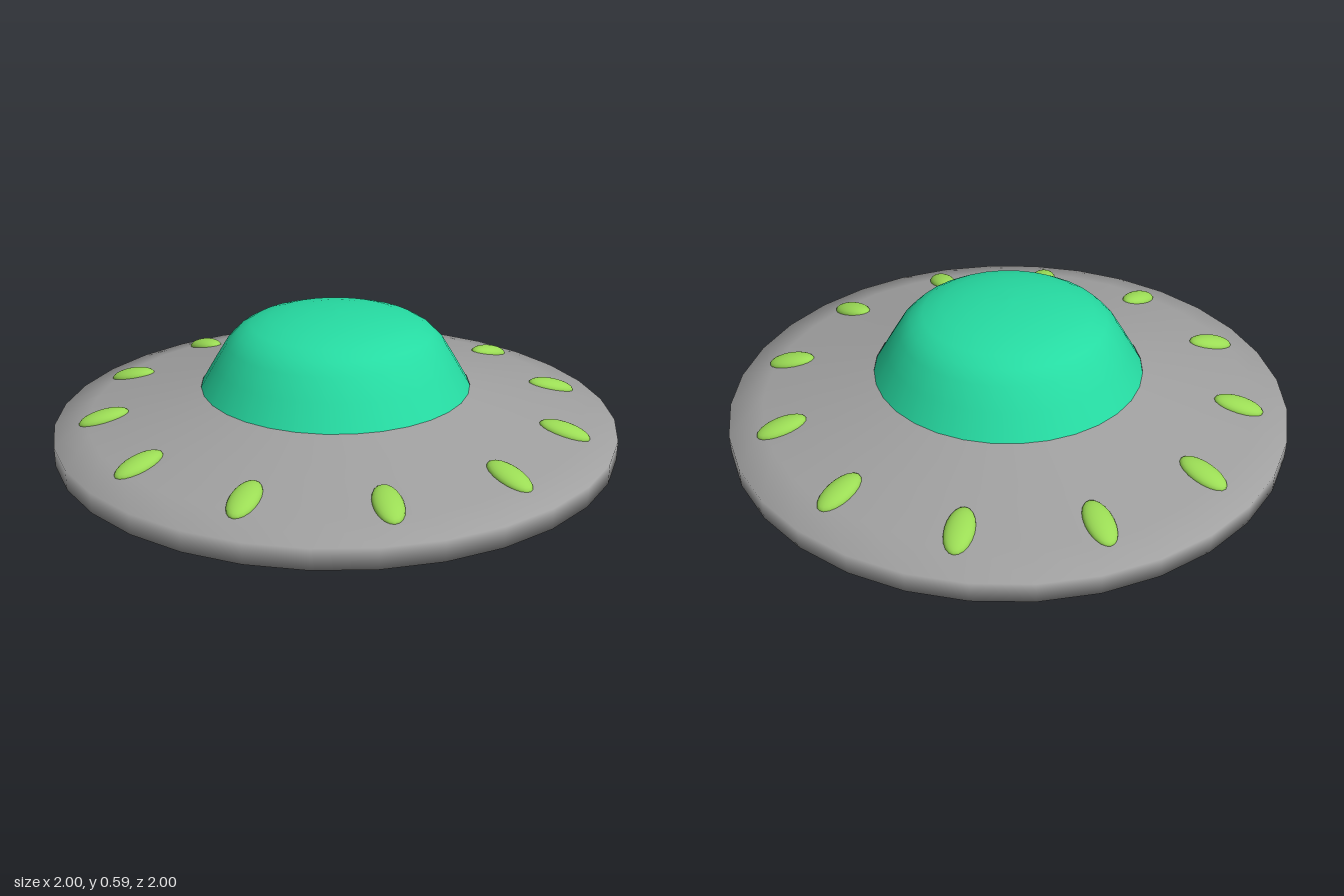
import * as THREE from 'three';
import { toCreasedNormals } from 'three/addons/utils/BufferGeometryUtils.js';

const SIDES = 32;

// Revolve a profile of [radius, height] pairs, listed so the surface faces outward
function lathe(profile) {
  return new THREE.LatheGeometry(profile.map(([r, y]) => new THREE.Vector2(r, y)), SIDES);
}

export function createModel() {
  const hullGrey = new THREE.MeshStandardMaterial({ name: 'hullGrey', color: 0xa0a0a0 });
  const domeGreen = new THREE.MeshStandardMaterial({ name: 'domeGreen', color: 0x26dba2 });
  const lightLime = new THREE.MeshStandardMaterial({ name: 'lightLime', color: 0x9bdc55 });
  const ringCyan = new THREE.MeshStandardMaterial({ name: 'ringCyan', color: 0x22d0dd });

  const model = new THREE.Group();
  model.name = 'flyingSaucer';

  function add(name, geometry, material, parent = model) {
    const mesh = new THREE.Mesh(geometry, material);
    mesh.name = name;
    parent.add(mesh);
    return mesh;
  }

  // Saucer body: shallow cone below, softly shaded rim, shallow cone above
  add('hull', lathe([
    [0.405, 0.004], [0.41, 0.012], [0.55, 0.04], [0.86, 0.102], [1, 0.13],
    [1, 0.2], [0.88, 0.228], [0.7, 0.269], [0.48, 0.32],
  ]), hullGrey);

  // Flattened cockpit dome
  add('dome', lathe([
    [0.48, 0.318], [0.43, 0.403], [0.385, 0.476], [0.345, 0.516],
    [0.3, 0.542], [0.235, 0.562], [0.16, 0.576], [0.08, 0.584], [0, 0.586],
  ]), domeGreen);

  // Underside ring with a recessed glowing disc
  add('bottomRing', toCreasedNormals(lathe([
    [0.29, 0.065], [0.29, 0], [0.41, 0], [0.41, 0.012],
  ]), 0.6), ringCyan);
  const disc = add('bottomLight', new THREE.CircleGeometry(0.29, SIDES), lightLime);
  disc.rotation.x = Math.PI / 2;
  disc.position.y = 0.064;

  // Twelve oval lights lying along the slope of the upper hull
  const lights = new THREE.Group();
  lights.name = 'rimLights';
  model.add(lights);
  const oval = new THREE.SphereGeometry(1, 20, 14);
  oval.scale(0.048, 0.028, 0.089);
  oval.rotateX(Math.atan2(0.12, 0.52));
  oval.translate(0, 0.24, 0.823);
  for (let i = 0; i < 12; i++) {
    add('rimLight' + (i + 1), oval, lightLime, lights).rotation.y = (i * Math.PI) / 6;
  }

  return model;
}
